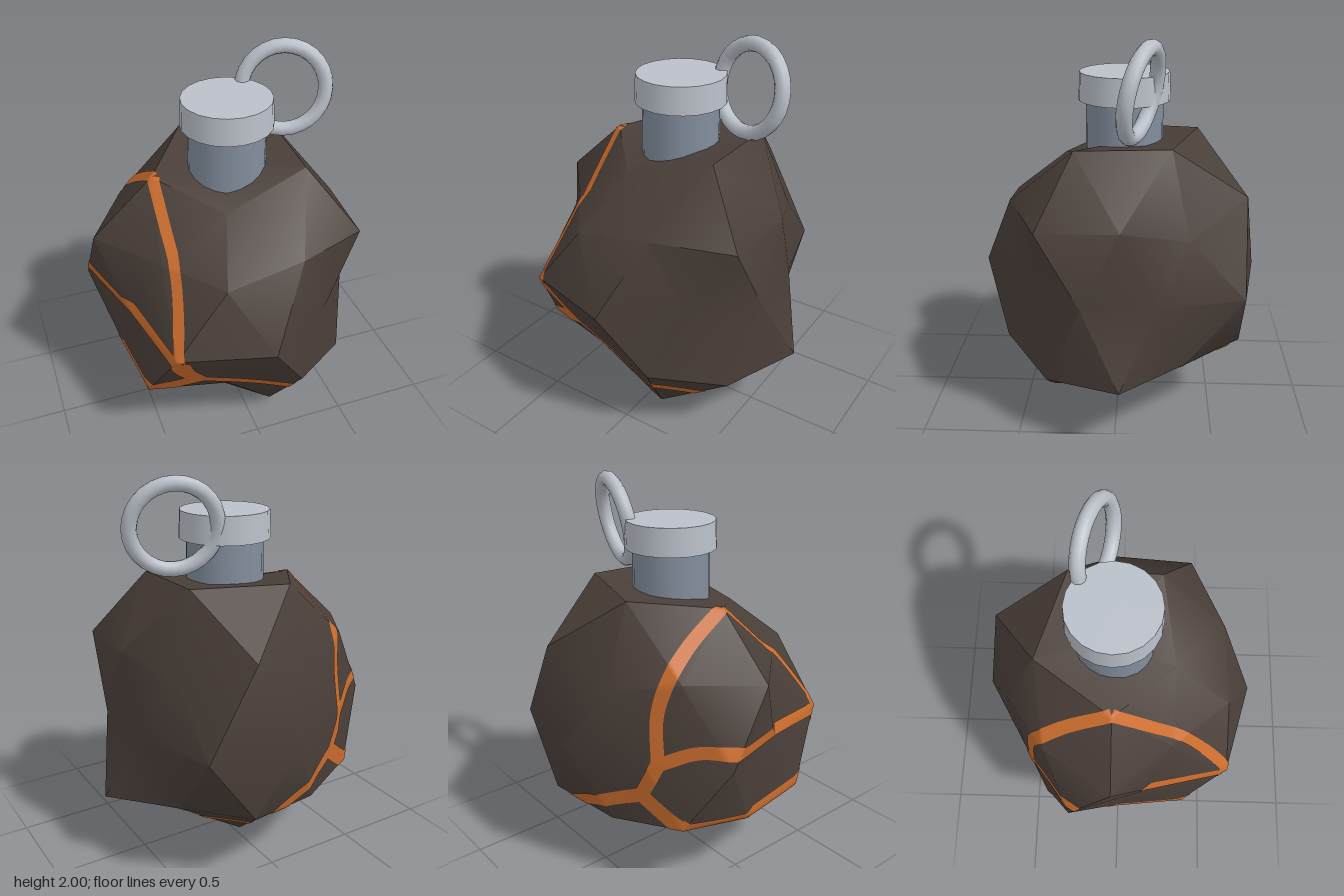
import * as THREE from 'three';
import { toCreasedNormals } from 'three/addons/utils/BufferGeometryUtils.js';

const CENTRE = new THREE.Vector3(0, 0.77, -0.03);
const DEG = Math.PI / 180;

// Faceted boulder: a once-subdivided icosahedron whose vertices have individual radii.
function rockGeometry() {
  const vert = (r, azimuth, flat, up) => [
    r * flat * Math.cos(azimuth * DEG), r * up * 1.05, r * flat * Math.sin(azimuth * DEG) * 0.955];
  const ring = (radii, start, flat, up) => {
    const pts = radii.map((r, i) => vert(r, start + i * 360 / radii.length, flat, up));
    return i => pts[(i + pts.length) % pts.length];
  };
  const top = vert(0.63, 0, 0, 1);
  const T = ring([0.79, 0.65, 0.742, 0.797, 0.805], 36, 0.5257, 0.8507);
  const M = ring([0.705, 0.74, 0.635, 0.71, 0.805], 0, 0.8507, 0.5257);
  const U = ring([0.80, 0.73, 0.79, 0.68, 0.655], 36, 0.8944, 0.4472);
  const E = ring([0.64, 0.63, 0.78, 0.80, 0.62, 0.765, 0.62, 0.722, 0.79, 0.605], 18, 1, 0);
  const L = ring([0.81, 0.755, 0.79, 0.745, 0.76], 0, 0.8944, -0.4472);
  const N = ring([0.775, 0.65, 0.717, 0.70, 0.67], 36, 0.8507, -0.5257);
  const B = ring([0.63, 0.795, 0.63, 0.62, 0.67], 0, 0.5257, -0.8507);
  const bottom = vert(0.733, 0, 0, -1);

  const pos = [];
  // corners a, b, c with edge midpoints ab, bc, ca
  const face = (a, b, c, ab, bc, ca) => {
    for (const p of [a, ab, ca, ab, b, bc, ca, bc, c, ab, bc, ca]) pos.push(...p);
  };
  for (let k = 0; k < 5; k++) {
    face(top, U(k + 1), U(k), T(k + 1), M(k + 1), T(k));
    face(U(k - 1), U(k), L(k), M(k), E(2 * k), E(2 * k - 1));
    face(L(k), U(k), L(k + 1), E(2 * k), E(2 * k + 1), N(k));
    face(bottom, L(k), L(k + 1), B(k), N(k), B(k + 1));
  }
  // put every triangle in outward order
  const g = new THREE.BufferGeometry();
  const a = new THREE.Vector3(), b = new THREE.Vector3(), c = new THREE.Vector3();
  for (let i = 0; i < pos.length; i += 9) {
    a.fromArray(pos, i); b.fromArray(pos, i + 3); c.fromArray(pos, i + 6);
    const n = b.clone().sub(a).cross(c.clone().sub(a));
    if (n.dot(a.clone().add(b).add(c)) < 0) { c.toArray(pos, i + 3); b.toArray(pos, i + 6); }
  }
  g.setAttribute('position', new THREE.Float32BufferAttribute(pos, 3));
  return toCreasedNormals(g, 35 * DEG);
}

// Thin glowing ribbon laid over the rock along a path (relative to the rock centre).
function crackGeometry(points, width, rockMesh) {
  const curve = new THREE.CatmullRomCurve3(points.map(p => new THREE.Vector3(...p)), false, 'centripetal');
  const steps = points.length * 16, across = 6;
  const ray = new THREE.Raycaster();
  const pos = [], index = [];
  for (let i = 0; i <= steps; i++) {
    const p = curve.getPoint(i / steps);
    const side = curve.getTangent(i / steps).cross(p).normalize();
    for (let j = 0; j <= across; j++) {
      const dir = p.clone().addScaledVector(side, (j / across - 0.5) * width).normalize();
      ray.set(dir.clone().multiplyScalar(3), dir.clone().negate());
      const hit = ray.intersectObject(rockMesh)[0];
      const q = hit ? hit.point : p;
      pos.push(...q.addScaledVector(dir, 0.005).toArray());
      if (i < steps && j < across) {
        const v = i * (across + 1) + j, w = v + across + 1;
        index.push(v, v + 1, w, v + 1, w + 1, w);
      }
    }
  }
  const g = new THREE.BufferGeometry();
  g.setAttribute('position', new THREE.Float32BufferAttribute(pos, 3));
  g.setIndex(index);
  g.computeVertexNormals();
  return g;
}

export function createModel() {
  const material = (name, color, side = THREE.FrontSide) => {
    const m = new THREE.MeshStandardMaterial({ color, side });
    m.name = name;
    return m;
  };
  const stone = material('dark stone', 0x4a3f39);
  const ember = material('ember orange', 0xca6c2d, THREE.DoubleSide);
  const steel = material('light steel', 0xbac0c9);
  const darkSteel = material('dark steel', 0x828e9d);

  const model = new THREE.Group();
  const add = (name, geometry, mat, x = 0, y = 0, z = 0) => {
    const mesh = new THREE.Mesh(geometry, mat);
    mesh.name = name;
    mesh.position.set(x, y, z);
    model.add(mesh);
    return mesh;
  };

  // Rock body
  const rock = rockGeometry();
  add('rockBody', rock, stone, ...CENTRE.toArray());

  // Cracks, meeting at four junctions
  const crest = [-0.385, 0.67, 0], frontFork = [-0.445, -0.02, 0.60], frontLow = [-0.34, -0.25, 0.53];
  const backFork = [-0.42, -0.01, -0.43], backLow = [-0.355, -0.2, -0.49];
  const cracks = [
    [0.06, [crest, [-0.40, 0.52, 0.20], [-0.41, 0.36, 0.39], [-0.43, 0.15, 0.53], frontFork]],
    [0.095, [frontFork, [-0.41, -0.14, 0.56], frontLow]],
    [0.072, [frontLow, [0, -0.37, 0.56], [0.25, -0.48, 0.48], [0.39, -0.53, 0.29], [0.41, -0.53, 0.03],
      [0.4, -0.5, -0.28], [0.2, -0.44, -0.54], [-0.05, -0.33, -0.6], backLow]],
    [0.07, [backLow, backFork]],
    [0.065, [backFork, [-0.40, 0.25, -0.41], [-0.385, 0.48, -0.24], crest]],
    [0.065, [backFork, [-0.6, 0.08, -0.31], [-0.73, 0.07, -0.1], [-0.6, 0.03, 0.25], frontFork]],
    [0.09, [backLow, [-0.45, -0.28, -0.43], [-0.54, -0.35, -0.37]]],
    [0.115, [[-0.52, -0.34, -0.38], [-0.58, -0.39, -0.18], [-0.60, -0.40, 0], [-0.59, -0.39, 0.2],
      [-0.56, -0.37, 0.38], [-0.47, -0.32, 0.45], frontLow]],
  ];
  const target = new THREE.Mesh(rock, stone);
  cracks.forEach(([width, path], i) =>
    add('crack' + (i + 1), crackGeometry(path, width, target), ember, ...CENTRE.toArray()));

  // Neck and cap
  add('neck', new THREE.CylinderGeometry(0.195, 0.2, 0.4, 20), darkSteel, 0.004, 1.48, CENTRE.z);
  add('cap', new THREE.CylinderGeometry(0.226, 0.233, 0.14, 20), steel, 0.005, 1.73, CENTRE.z);

  // Pull ring, leaning and turned beside the cap
  const ring = add('pullRing', new THREE.TorusGeometry(0.212, 0.038, 10, 28), steel, 0.339, 1.754, -0.12);
  const across = new THREE.Vector3(0.95, 0, 0.31).normalize();
  const normal = across.clone().cross(new THREE.Vector3(0, 1, -0.19)).normalize();
  const up = normal.clone().cross(across);
  ring.quaternion.setFromRotationMatrix(new THREE.Matrix4().makeBasis(across, up, normal));

  return model;
}
